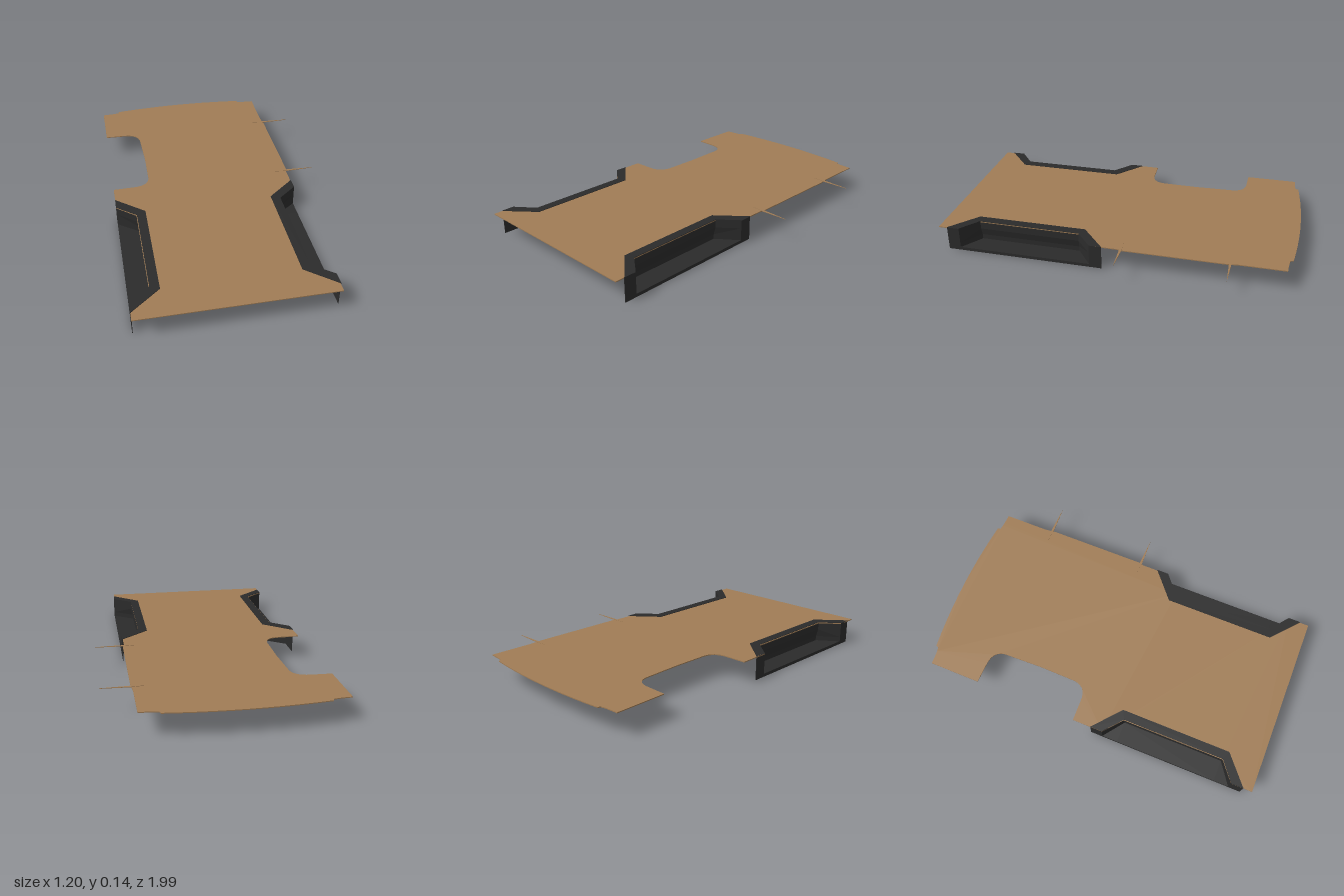
import * as THREE from 'three';

export function createModel() {
  const model = new THREE.Group();
  const boardTan = new THREE.MeshStandardMaterial({ name: 'boardTan', color: 0xa07c55 });
  const trimBlack = new THREE.MeshStandardMaterial({ name: 'trimBlack', color: 0x2b2b2b, side: THREE.DoubleSide });
  const RIGHT = -0.62, LEFT = 0.415;

  const add = (parent, name, geo, mat) => {
    const mesh = new THREE.Mesh(geo, mat);
    mesh.name = name;
    parent.add(mesh);
    return mesh;
  };

  // Horizontal plate from a shape drawn in (x, -z)
  const plate = (shape, y, thickness) => {
    const geo = new THREE.ExtrudeGeometry(shape, { depth: thickness, bevelEnabled: false, curveSegments: 10 });
    return geo.rotateX(-Math.PI / 2).translate(0, y, 0);
  };

  // Floor board with door step cut-out, recesses for the wells and a bowed back edge
  const s = new THREE.Shape();
  const to = (x, z) => s.lineTo(x, -z);
  const curve = (cx, cz, x, z) => s.quadraticCurveTo(cx, -cz, x, -z);
  s.moveTo(RIGHT, -0.99);
  to(LEFT, 0.99);
  to(LEFT, 0.87);
  to(0.31, 0.785);
  to(0.31, 0.2);
  to(LEFT, 0.11);
  to(LEFT, -0.05);
  to(0.423, -0.08);
  to(0.423, -0.63);
  to(LEFT, -0.7);
  to(LEFT, -0.95);
  curve(0.34, -0.952, 0.315, -0.96);
  to(0.31, -0.975);
  curve(-0.1, -1.025, -0.515, -0.975);
  to(-0.52, -0.96);
  curve(-0.55, -0.952, RIGHT, -0.95);
  to(RIGHT, -0.658);
  to(-0.5, -0.655);
  curve(-0.415, -0.65, -0.412, -0.57);
  to(-0.405, -0.36);
  to(-0.408, -0.15);
  curve(-0.415, -0.07, -0.5, -0.068);
  to(RIGHT, -0.065);
  to(RIGHT, 0.11);
  to(-0.515, 0.2);
  to(-0.515, 0.785);
  to(RIGHT, 0.87);
  add(model, 'floorBoard', plate(s, 0.131, 0.005), boardTan);

  // Slender tapered slivers on the left edge
  for (const z of [-0.655, -0.068]) {
    const tip = new THREE.Shape();
    tip.moveTo(0.35, -z);
    tip.lineTo(0.42, -z - 0.007);
    tip.lineTo(0.58, -z);
    tip.lineTo(0.42, -z + 0.007);
    add(model, 'edgeSliver', plate(tip, 0.135, 0.003), boardTan);
  }

  // Well cross-sections: [height, inward depth, outer z start, inner z start, inner z end, outer z end]
  const rings = [
    [0.133, 0.158, 0.04, 0.175, 0.805, 0.94],
    [0.139, 0.158, 0.04, 0.175, 0.805, 0.94],
    [0.139, 0.108, 0.11, 0.2, 0.785, 0.87],
    [0.09, 0.108, 0.11, 0.2, 0.785, 0.87],
    [0.045, 0.12, 0.11, 0.2, 0.785, 0.87],
    [0.017, 0.12, 0.11, 0.2, 0.785, 0.87],
    [0.017, 0, 0.11, 0.2, 0.785, 0.87],
  ];

  const wellGeometry = (edge, dir) => {
    const grid = rings.map(([y, d, ...zs]) =>
      zs.map((z, i) => [edge + dir * (i === 1 || i === 2 ? d : 0), y, z]));
    const pos = [];
    for (let r = 0; r < grid.length - 1; r++) {
      for (let i = 0; i < 3; i++) {
        const a = grid[r][i], b = grid[r][i + 1], c = grid[r + 1][i + 1], d = grid[r + 1][i];
        // Winding keeps the visible trough side in front on both mirrored wells
        const quad = dir > 0 ? [a, b, c, a, c, d] : [a, c, b, a, d, c];
        quad.forEach((p) => pos.push(...p));
      }
    }
    const geo = new THREE.BufferGeometry();
    geo.setAttribute('position', new THREE.Float32BufferAttribute(pos, 3));
    geo.computeVertexNormals();
    return geo;
  };

  // Open-sided recessed wells with a lip around the outer opening
  for (const [name, edge, dir] of [['rightWell', RIGHT, 1], ['leftWell', 0.418, -1]]) {
    const well = new THREE.Group();
    well.name = name;
    add(well, 'wellLiner', wellGeometry(edge, dir), trimBlack);
    for (const [z0, z1, h] of [[0.04, 0.11, 0.137], [0.87, 0.94, 0.137], [0.11, 0.87, 0.018]]) {
      const lip = add(well, 'wellLip', new THREE.BoxGeometry(0.003, h, z1 - z0), trimBlack);
      lip.position.set(edge + dir * 0.0015, h / 2, (z0 + z1) / 2);
    }
    model.add(well);
  }

  return model;
}
